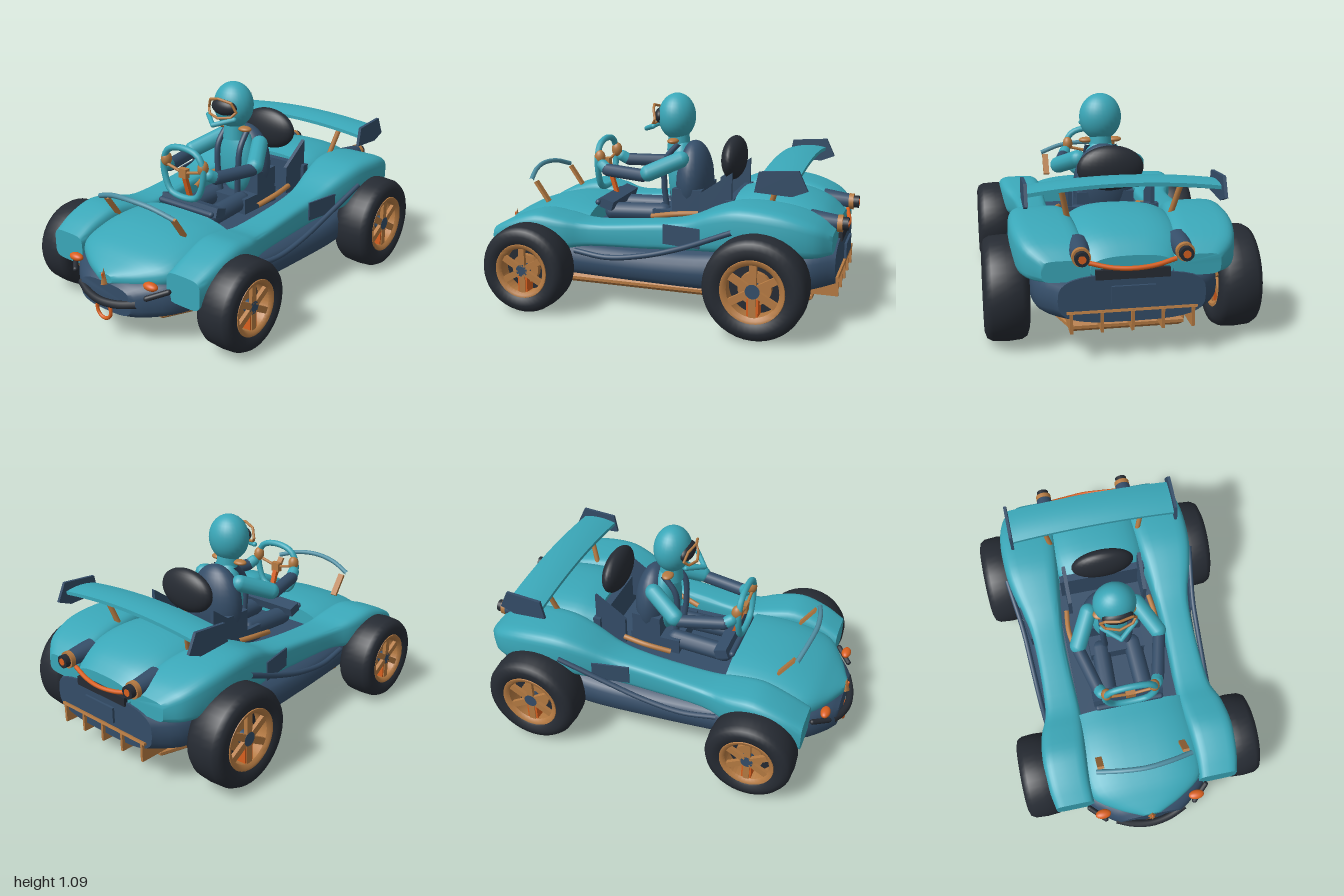
import * as THREE from 'three';
import { toCreasedNormals } from 'three/addons/utils/BufferGeometryUtils.js';

const mat = (name, color) => Object.assign(new THREE.MeshStandardMaterial({ color }), { name });
const teal = mat('teal paint', 0x3aa7b8), navy = mat('navy panel', 0x344d68), black = mat('black rubber', 0x262b33);
const tan = mat('bronze', 0xb57a42), orange = mat('orange accent', 0xd9601f), steel = mat('blue glass', 0x4f8fa3);
const V = (x, y, z) => new THREE.Vector3(x, y, z);
const outline = pts => new THREE.Shape(pts.map(p => new THREE.Vector2(...p)));

export function createModel() {
  const car = new THREE.Group();
  car.name = 'buggy';

  const add = (name, geo, m, pos = [0, 0, 0], rot = [0, 0, 0], parent = car) => {
    const mesh = new THREE.Mesh(geo, m);
    mesh.name = name;
    mesh.position.set(...pos);
    mesh.rotation.set(...rot);
    parent.add(mesh);
    return mesh;
  };
  const box = (name, m, size, pos, rot) => add(name, new THREE.BoxGeometry(...size), m, pos, rot);
  const ball = (name, m, scale, pos) => add(name, new THREE.SphereGeometry(1, 28, 18).scale(...scale), m, pos);
  const tube = (name, m, pts, r, closed = false) => add(name,
    new THREE.TubeGeometry(new THREE.CatmullRomCurve3(pts.map(p => V(...p)), closed), 32, r, 10, closed), m);
  // straight round bar between two points
  const rod = (name, m, a, b, r) => {
    const d = V(...b).sub(V(...a));
    const mesh = add(name, new THREE.CapsuleGeometry(r, d.length(), 6, 12), m);
    mesh.position.copy(V(...a)).addScaledVector(d, 0.5);
    mesh.quaternion.setFromUnitVectors(V(0, 1, 0), d.normalize());
  };
  // flat plate drawn in (-z, y), thickness along x
  const sidePlate = (name, m, pts, x, t) => add(name,
    new THREE.ExtrudeGeometry(outline(pts), { depth: t, bevelEnabled: false }).rotateY(Math.PI / 2), m, [x - t / 2, 0, 0]);

  // smooth body skin, front to back, through stations [z, x0, x1, yBottom, yTop]; superellipse power p
  const loft = (name, m, stations, p) => {
    const n = 32, steps = (stations.length - 1) * 4;
    const curve = new THREE.CubicInterpolant(stations.map((_, i) => i), stations.flat(), 5);
    const pos = [], idx = [];
    const pw = v => Math.sign(v) * Math.abs(v) ** (2 / p);
    for (let i = 0; i <= steps; i++) {
      const [z, x0, x1, yb, yt] = curve.evaluate(i / 4);
      for (let j = 0; j < n; j++) {
        const a = j / n * Math.PI * 2;
        pos.push((x0 + x1) / 2 + Math.abs(x1 - x0) / 2 * pw(Math.cos(a)), (yb + yt) / 2 + (yt - yb) / 2 * pw(Math.sin(a)), z);
        if (i < steps) {
          const k = i * n + j, l = i * n + (j + 1) % n;
          idx.push(k, k + n, l, l, k + n, l + n);
        }
      }
    }
    for (let j = 1; j < n - 1; j++) idx.push(0, j, j + 1, steps * n, steps * n + j + 1, steps * n + j);
    const g = new THREE.BufferGeometry();
    g.setAttribute('position', new THREE.Float32BufferAttribute(pos, 3));
    g.setIndex(idx);
    add(name, toCreasedNormals(g, 0.7), m);
  };
  const sym = rows => rows.map(([z, w, yb, yt]) => [z, -w, w, yb, yt]);

  // main shells
  loft('lowerHull', navy, sym([
    [.95, .17, .15, .30], [.9, .24, .135, .33], [.8, .34, .13, .355], [.6, .42, .13, .36], [.35, .45, .13, .36],
    [0, .475, .13, .365], [-.35, .49, .13, .39], [-.6, .45, .14, .42], [-.8, .43, .16, .42], [-.94, .34, .19, .42]]), 3.2);
  loft('hood', teal, sym([
    [.95, .05, .30, .345], [.89, .18, .285, .385], [.8, .30, .27, .435], [.65, .33, .27, .48],
    [.5, .335, .27, .495], [.37, .33, .27, .488]]), 2.5);
  loft('engineCover', teal, sym([
    [-.4, .24, .38, .60], [-.52, .27, .38, .625], [-.7, .27, .38, .615], [-.84, .24, .38, .57], [-.93, .19, .38, .5]]), 2.6);
  for (const s of [1, -1]) {
    loft('fenderAndSidePod', teal, [
      [.83, .29, .495, .25, .405], [.72, .29, .515, .26, .46], [.58, .28, .52, .28, .5], [.44, .27, .50, .31, .48],
      [.3, .27, .455, .33, .455], [0, .28, .445, .34, .48], [-.2, .27, .46, .355, .51], [-.36, .25, .505, .37, .58],
      [-.5, .23, .53, .38, .615], [-.7, .21, .53, .38, .6], [-.85, .2, .49, .38, .55], [-.93, .19, .41, .39, .49],
    ].map(([z, a, b, c, d]) => [z, s * a, s * b, c, d]), 4.5);
  }

  // floor pan and rear diffuser
  const pan = outline([[-.2, -.77], [.2, -.77], [.33, -.5], [.33, .55], [.25, .8], [-.25, .8], [-.33, .55], [-.33, -.5]]);
  add('floorPan', new THREE.ExtrudeGeometry(pan, { depth: .015, bevelThickness: .02, bevelSize: .025, bevelSegments: 1 })
    .rotateX(-Math.PI / 2), tan, [0, .115, 0]);
  box('diffuserRoof', tan, [.6, .012, .24], [0, .215, -.84], [.3, 0, 0]);
  for (let i = -2; i <= 2; i++) box('diffuserFin', tan, [.014, .1, .2], [i * .14, .2, -.855]);

  // wheels
  const wheel = (name, s, z, r, x, w) => {
    const g = new THREE.Group();
    g.name = name;
    g.position.set(s * x, r, z);
    g.rotation.y = s > 0 ? 0 : Math.PI;
    car.add(g);
    const h = w / 2, q = r * .58;
    const lathe = pts => toCreasedNormals(
      new THREE.LatheGeometry(pts.map(p => new THREE.Vector2(...p)), 40).rotateZ(-Math.PI / 2), .8);
    const disc = (n, m, rad, d, px) => add(n, new THREE.CylinderGeometry(rad, rad, d, 28).rotateZ(Math.PI / 2), m, [px, 0, 0], [0, 0, 0], g);
    add('tire', lathe([[q, -h * .8], [q * 1.12, -h * .96], [r * .8, -h], [r * .92, -h * .9], [r * .98, -h * .65], [r, 0],
      [r * .98, h * .65], [r * .92, h * .9], [r * .8, h], [q * 1.12, h * .96], [q, h * .8]]), black, [0, 0, 0], [0, 0, 0], g);
    add('rim', lathe([[q * 1.07, h * .85], [q * 1.05, h * .93], [q * .96, h * .92], [q * .86, h * .78], [q * .9, -h * .78],
      [q * .96, -h * .9], [q * 1.05, -h * .9]]), tan, [0, 0, 0], [0, 0, 0], g);
    disc('wheelBack', black, q, .02, 0);
    disc('brakeDisc', tan, q * .55, .08, 0);
    disc('hub', navy, q * .24, h * 1.6, 0);
    for (const side of [1, -1]) for (let i = 0; i < 6; i++) {
      const spoke = new THREE.BoxGeometry(.02, q * .75, q * .24).translate(0, q * .52, 0);
      add('spoke', spoke, tan, [h * .7 * side, 0, 0], [i * Math.PI / 3, 0, 0], g);
    }
    add('caliper', new THREE.BoxGeometry(h * 1.5, q * .6, q * .38), orange, [0, -q * .55, 0], [0, 0, 0], g);
  };
  for (const s of [1, -1]) {
    wheel('frontWheel', s, .6, .23, .55, .2);
    wheel('rearWheel', s, -.6, .255, .555, .21);
  }
  for (const [z, y] of [[.6, .23], [-.6, .255]]) rod('axle', tan, [-.5, y, z], [.5, y, z], .018);

  // nose details
  tube('frontBumper', black, [[-.19, .235, .93], [-.1, .218, .965], [0, .212, .98], [.1, .218, .965], [.19, .235, .93]], .02);
  add('towRing', new THREE.TorusGeometry(.047, .009, 10, 28), orange, [0, .16, .965]);
  add('noseOrnament', new THREE.ConeGeometry(.022, .08, 4), tan, [0, .335, .955]);
  rod('noseOrnamentPost', orange, [0, .29, .955], [0, .35, .965], .006);

  // cockpit furniture
  box('cockpitFloor', navy, [.54, .04, .78], [0, .375, -.01]);
  box('bulkhead', navy, [.48, .2, .04], [0, .48, -.38]);
  box('dashboard', navy, [.38, .05, .07], [0, .495, .31], [-.3, 0, 0]);
  rod('dashTube', navy, [-.17, .5, .365], [.17, .5, .365], .016);
  box('seatBase', navy, [.3, .1, .28], [0, .43, -.08]);
  ball('seatBack', navy, [.16, .215, .1], [0, .625, -.13]);
  box('seatLowerBack', navy, [.3, .2, .16], [0, .5, -.13]);
  ball('headrest', black, [.17, .115, .06], [0, .76, -.35]);

  // mirrored details
  for (const s of [1, -1]) {
    rod('cornerBumper', black, [s * .32, .31, .85], [s * .245, .28, .92], .014);
    ball('turnSignal', orange, [.042, .02, .025], [s * .255, .338, .9]);
    sidePlate('cockpitSidePanel', navy, [[.22, .45], [.39, .45], [.39, .72], [.22, .6]], s * .21, .02);
    tube('cockpitTrim', tan, [[s * .235, .5, -.22], [s * .245, .49, -.1], [s * .22, .46, .04]], .014);
    tube('sillTube', navy, [[s * .46, .31, .38], [s * .475, .295, .2], [s * .485, .325, 0], [s * .495, .385, -.2], [s * .53, .5, -.47]], .014);
    box('doorPanel', navy, [.009, .1, .2], [s * .471, .44, -.2], [0, s * -.17, 0]);
    box('windscreenPost', tan, [.035, .13, .015], [s * .225, .55, .67], [.6, 0, 0]);
    // rear lamps
    const lamp = (n, m, r1, r2, len, z) =>
      add(n, new THREE.CylinderGeometry(r1, r2, len, 20).rotateX(-Math.PI / 2), m, [s * .235, .51, z]);
    lamp('lampHousing', navy, .04, .06, .14, -.87);
    lamp('lampRing', tan, .043, .043, .025, -.945);
    lamp('lampBarrel', black, .033, .033, .05, -.96);
    lamp('lampLens', orange, .018, .018, .006, -.985);
    // wing supports and end plates
    rod('wingSupport', tan, [s * .25, .58, -.6], [s * .285, .74, -.65], .014);
    sidePlate('wingEndPlate', navy, [[.58, .79], [.77, .805], [.815, .71], [.74, .68], [.56, .69]], s * .46, .016);
  }
  tube('windscreenBar', steel, [[-.25, .612, .725], [-.13, .65, .752], [0, .662, .765], [.13, .65, .752], [.25, .612, .725]], .013);

  // bowed rear wing, thinner toward its edges
  const wing = new THREE.BoxGeometry(.9, .045, .19, 20, 1, 6);
  const wp = wing.attributes.position;
  for (let i = 0; i < wp.count; i++) {
    const x = wp.getX(i) / .45, z = wp.getZ(i) / .095;
    wp.setY(i, wp.getY(i) * (1 - .6 * z * z) + .03 * (1 - x * x) - z * .004);
  }
  wing.computeVertexNormals();
  add('rearWing', wing, teal, [0, .745, -.67]);

  // tail details
  tube('rearAccentStrip', orange, [[-.2, .475, -.93], [-.1, .455, -.95], [0, .45, -.96], [.1, .455, -.95], [.2, .475, -.93]], .011);
  box('rearVent', black, [.34, .045, .02], [0, .42, -.94]);
  box('rearPlate', navy, [.2, .08, .012], [0, .33, -.96]);

  // steering wheel and column
  tube('steeringWheel', teal, [[0, .825, .38], [.1, .8, .38], [.135, .73, .38], [.12, .63, .38], [.08, .57, .38],
    [-.08, .57, .38], [-.12, .63, .38], [-.135, .73, .38], [-.1, .8, .38]], .017, true);
  box('steeringHub', tan, [.05, .05, .03], [0, .69, .375]);
  for (const s of [1, -1]) rod('steeringSpoke', tan, [0, .69, .378], [s * .125, .72, .378], .008);
  box('steeringColumn', orange, [.025, .19, .02], [0, .59, .345], [.3, 0, 0]);

  // driver
  ball('driverTorso', teal, [.115, .2, .075], [0, .65, -.065]);
  add('neck', new THREE.CylinderGeometry(.055, .065, .1, 16), teal, [0, .83, -.04]);
  ball('helmet', teal, [.112, .125, .1], [0, .965, -.03]);
  ball('visor', black, [.08, .046, .04], [0, .968, .05]);
  // angular frame around the visor
  const frame = [[0, 1.022, .1], [.07, 1.005, .08], [.092, .955, .065], [.07, .928, .085], [0, .918, .105],
    [-.07, .928, .085], [-.092, .955, .065], [-.07, 1.005, .08]];
  frame.forEach((p, i) => rod('visorFrame', tan, p, frame[(i + 1) % frame.length], .007));
  for (const s of [1, -1]) {
    rod('chinGuard', teal, [s * .088, .918, .075], [0, .89, .145], .013);
    ball('collarPad', tan, [.04, .015, .03], [s * .075, .842, -.03]);
    tube('harnessStrap', navy, [[s * .07, .83, -.06], [s * .075, .74, .01], [s * .07, .6, .02], [s * .06, .48, .01]], .016);
    rod('upperArm', teal, [s * .13, .755, -.09], [s * .215, .69, .06], .045);
    rod('forearm', navy, [s * .215, .675, .09], [s * .16, .68, .31], .034);
    rod('cuff', teal, [s * .155, .685, .32], [s * .145, .7, .345], .032);
    ball('hand', tan, [.028, .04, .03], [s * .125, .74, .37]);
    rod('leg', navy, [s * .09, .45, .02], [s * .1, .44, .3], .05);
  }
  return car;
}
